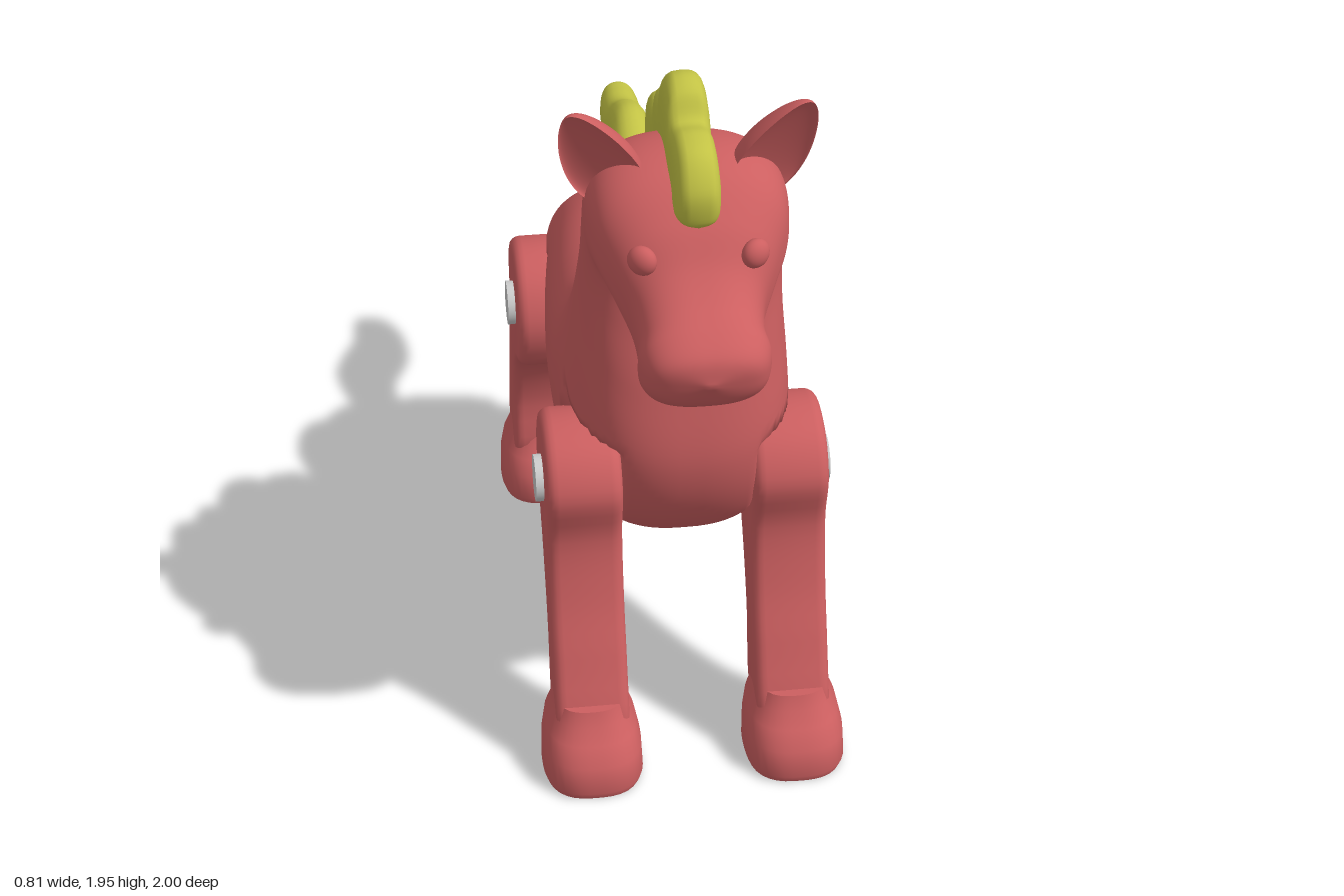
import * as THREE from 'three';
import { mergeVertices, toCreasedNormals } from 'three/addons/utils/BufferGeometryUtils.js';

const red = new THREE.MeshStandardMaterial({ color: 0xcc5f60 });
const yellow = new THREE.MeshStandardMaterial({ color: 0xc3c345 });
const grey = new THREE.MeshStandardMaterial({ color: 0xcccccc });

function add(parent, name, geometry, material, x = 0, y = 0, z = 0) {
  const mesh = new THREE.Mesh(geometry, material);
  mesh.name = name;
  mesh.position.set(x, y, z);
  parent.add(mesh);
  return mesh;
}

// Skin over rounded sections; each section is [topZ, topY, bottomZ, bottomY, halfWidth]
function loft(sections, power, steps, sides, rule) {
  const top = new THREE.CatmullRomCurve3(sections.map(s => new THREE.Vector3(s[4], s[1], s[0])), false, 'catmullrom');
  const bottom = new THREE.CatmullRomCurve3(sections.map(s => new THREE.Vector3(s[4], s[3], s[2])), false, 'catmullrom');
  const bulge = v => Math.sign(v) * Math.abs(v) ** (2 / power);
  const positions = [], index = [];
  for (let i = 0; i <= steps; i++) {
    const t = top.getPoint(i / steps), b = bottom.getPoint(i / steps);
    for (let j = 0; j < sides; j++) {
      const a = (j / sides) * Math.PI * 2;
      const k = (1 + bulge(Math.cos(a))) / 2;
      const p = new THREE.Vector3(Math.max(t.x, 0) * bulge(Math.sin(a)), b.y + (t.y - b.y) * k, b.z + (t.z - b.z) * k);
      if (rule) rule(p);
      positions.push(p.x, p.y, p.z);
      if (i < steps) {
        const c = i * sides + j, d = i * sides + (j + 1) % sides;
        index.push(c, c + sides, d, d, c + sides, d + sides);
      }
    }
  }
  const g = new THREE.BufferGeometry();
  g.setAttribute('position', new THREE.Float32BufferAttribute(positions, 3));
  g.setIndex(index);
  const merged = mergeVertices(g, 1e-5);
  merged.computeVertexNormals();
  return merged;
}

// Flat pockets in the flanks where the legs sit
function legPockets(p) {
  const front = Math.min(0.965 - p.y, p.z - 0.2 - (p.y - 0.55) * 0.45);
  const rear = Math.min(0.93 + (p.z + 0.35) * 0.24 - p.y, -0.1 - (p.y - 0.54) * 0.47 - p.z);
  const depth = THREE.MathUtils.smoothstep(Math.max(front, rear), 0, 0.02);
  const inner = Math.sign(p.x) * Math.min(Math.abs(p.x), 0.17);
  p.x += (inner - p.x) * depth;
}

// Rump, belly, chest, neck, head and muzzle in one sweep
const bodySections = [
  [-0.605, 0.83, -0.605, 0.83, 0], [-0.6, 0.93, -0.6, 0.74, 0.17], [-0.57, 1.0, -0.56, 0.68, 0.235],
  [-0.47, 1.085, -0.46, 0.61, 0.265], [-0.32, 1.14, -0.3, 0.56, 0.28], [-0.12, 1.13, -0.1, 0.53, 0.3],
  [0, 1.14, 0.1, 0.52, 0.305], [0.06, 1.18, 0.33, 0.545, 0.305], [0.1, 1.24, 0.52, 0.61, 0.3],
  [0.13, 1.31, 0.64, 0.75, 0.285], [0.165, 1.4, 0.69, 0.92, 0.27], [0.22, 1.52, 0.665, 1.12, 0.255],
  [0.28, 1.63, 0.63, 1.28, 0.25], [0.37, 1.73, 0.615, 1.38, 0.25], [0.5, 1.77, 0.63, 1.41, 0.25],
  [0.62, 1.75, 0.66, 1.4, 0.235], [0.72, 1.67, 0.69, 1.35, 0.2], [0.79, 1.58, 0.73, 1.285, 0.165],
  [0.86, 1.525, 0.79, 1.25, 0.155], [0.93, 1.495, 0.87, 1.255, 0.16], [0.985, 1.45, 0.95, 1.3, 0.12],
  [1, 1.385, 1, 1.385, 0],
];

// Scalloped crest from the withers to the forelock
const maneSections = [
  [0.04, 1.2, 0.07, 1.22, 0], [0, 1.21, 0.1, 1.25, 0.045], [-0.012, 1.27, 0.14, 1.28, 0.055],
  [0.03, 1.37, 0.18, 1.36, 0.055], [0, 1.46, 0.2, 1.42, 0.055], [0.03, 1.53, 0.22, 1.46, 0.055],
  [0.1, 1.59, 0.25, 1.52, 0.055], [0.105, 1.68, 0.27, 1.56, 0.055], [0.17, 1.73, 0.29, 1.6, 0.055],
  [0.265, 1.75, 0.33, 1.64, 0.055], [0.3, 1.82, 0.37, 1.68, 0.055], [0.38, 1.85, 0.42, 1.7, 0.055],
  [0.41, 1.915, 0.46, 1.71, 0.055], [0.48, 1.948, 0.5, 1.71, 0.055], [0.54, 1.93, 0.54, 1.71, 0.055],
  [0.585, 1.875, 0.58, 1.71, 0.055], [0.66, 1.885, 0.61, 1.7, 0.055], [0.74, 1.865, 0.64, 1.69, 0.055],
  [0.79, 1.79, 0.66, 1.68, 0.055], [0.785, 1.71, 0.68, 1.67, 0.045], [0.76, 1.68, 0.7, 1.66, 0],
];

// Waving tail, tip to root
const tailSections = [
  [-1, 1.075, -1, 1.075, 0], [-0.985, 1.11, -0.98, 1.03, 0.04], [-0.93, 1.12, -0.92, 0.98, 0.057],
  [-0.85, 1.13, -0.8, 0.957, 0.06], [-0.74, 1.187, -0.71, 0.99, 0.06], [-0.64, 1.212, -0.63, 1.03, 0.06],
  [-0.53, 1.17, -0.55, 1.03, 0.06], [-0.46, 1.09, -0.48, 0.98, 0.055], [-0.43, 1.03, -0.43, 1.03, 0],
];

// Leg outlines as [z, y], and hoof placement
const legs = [
  {
    name: 'front', pivot: [0.465, 0.765], hoofZ: 0.717, lean: -0.06,
    outline: [[0.46, 0.945], [0.34, 0.9], [0.28, 0.79], [0.31, 0.67], [0.43, 0.49], [0.51, 0.33], [0.57, 0.12],
      [0.75, 0.12], [0.7, 0.31], [0.64, 0.48], [0.61, 0.66], [0.64, 0.81], [0.58, 0.91]],
  },
  {
    name: 'rear', pivot: [-0.38, 0.76], hoofZ: -0.585, lean: -0.035,
    outline: [[-0.37, 0.94], [-0.5, 0.905], [-0.57, 0.82], [-0.565, 0.7], [-0.62, 0.53], [-0.675, 0.35], [-0.71, 0.12],
      [-0.52, 0.12], [-0.52, 0.32], [-0.475, 0.46], [-0.39, 0.55], [-0.245, 0.64], [-0.205, 0.77], [-0.26, 0.89]],
  },
];

function legGeometry(outline) {
  const curve = new THREE.CatmullRomCurve3(outline.map(([z, y]) => new THREE.Vector3(z, y, 0)), true);
  const shape = new THREE.Shape(curve.getPoints(64).slice(0, -1).map(p => new THREE.Vector2(p.x, p.y)));
  const g = new THREE.ExtrudeGeometry(shape, {
    depth: 0.135, steps: 1, curveSegments: 1,
    bevelThickness: 0.03, bevelSize: 0.025, bevelOffset: -0.025, bevelSegments: 4,
  });
  g.translate(0, 0, -0.0675).rotateY(-Math.PI / 2);
  return toCreasedNormals(g, 0.6);
}

// Squared-off turned hoof whose ankle leans along z
function hoofGeometry(lean) {
  const profile = [[0, 0], [0.95, 0], [1, 0.02], [0.98, 0.09], [0.9, 0.135], [0.77, 0.17], [0.7, 0.21], [0, 0.21]];
  const g = new THREE.LatheGeometry(profile.map(([r, y]) => new THREE.Vector2(r, y)), 40);
  const p = g.attributes.position;
  for (let i = 0; i < p.count; i++) {
    const x = p.getX(i), y = p.getY(i), z = p.getZ(i);
    const r = Math.hypot(x, z);
    const square = r > 0 ? r / (Math.abs(x) ** 2.7 + Math.abs(z) ** 2.7) ** (1 / 2.7) : 1;
    p.setXYZ(i, x * square * 0.133, y, z * square * 0.153 + lean * THREE.MathUtils.smoothstep(y, 0.04, 0.2));
  }
  return toCreasedNormals(g, 0.7);
}

// Tapered ear, hollowed at the front
function earGeometry() {
  const g = new THREE.SphereGeometry(1, 40, 28);
  const p = g.attributes.position;
  for (let i = 0; i < p.count; i++) {
    const y = p.getY(i), z = p.getZ(i);
    const taper = 1 - 0.3 * y;
    p.setXYZ(i, p.getX(i) * 0.092 * taper, y * 0.175, (z > 0 ? -0.3 * z : z) * 0.085 * taper + 0.02);
  }
  g.computeVertexNormals();
  return g;
}

export function createModel() {
  const model = new THREE.Group();
  model.name = 'toyHorse';

  add(model, 'body', loft(bodySections, 2.6, 150, 96, legPockets), red);
  add(model, 'mane', loft(maneSections, 3.2, 120, 24), yellow);
  add(model, 'tail', loft(tailSections, 2.2, 48, 24), yellow);

  for (const side of [-1, 1]) {
    const label = side > 0 ? 'Left' : 'Right';

    // Face
    const ear = add(model, 'ear' + label, earGeometry(), red, side * 0.215, 1.77, 0.55);
    ear.rotation.set(0.36, side * 0.25, -side * 0.42);
    const eye = add(model, 'eye' + label, new THREE.SphereGeometry(0.038, 24, 16), red, side * 0.137, 1.605, 0.767);
    eye.rotation.y = side * 0.6;
    eye.scale.z = 0.75;
    const nostril = add(model, 'nostril' + label, new THREE.TorusGeometry(0.024, 0.009, 10, 24), red, side * 0.08, 1.41, 0.965);
    nostril.rotation.set(-0.15, side * 0.6, 0);

    // Legs with hoof and pivot pin
    for (const leg of legs) {
      const group = new THREE.Group();
      group.name = leg.name + 'Leg' + label;
      add(group, 'leg', legGeometry(leg.outline), red, side * 0.267);
      add(group, 'hoof', hoofGeometry(leg.lean), red, side * 0.27, 0, leg.hoofZ);
      const pin = add(group, 'pivotPin', new THREE.CylinderGeometry(0.062, 0.062, 0.05, 28), grey,
        side * 0.36, leg.pivot[1], leg.pivot[0]);
      pin.rotation.z = Math.PI / 2;
      model.add(group);
    }
  }
  return model;
}
